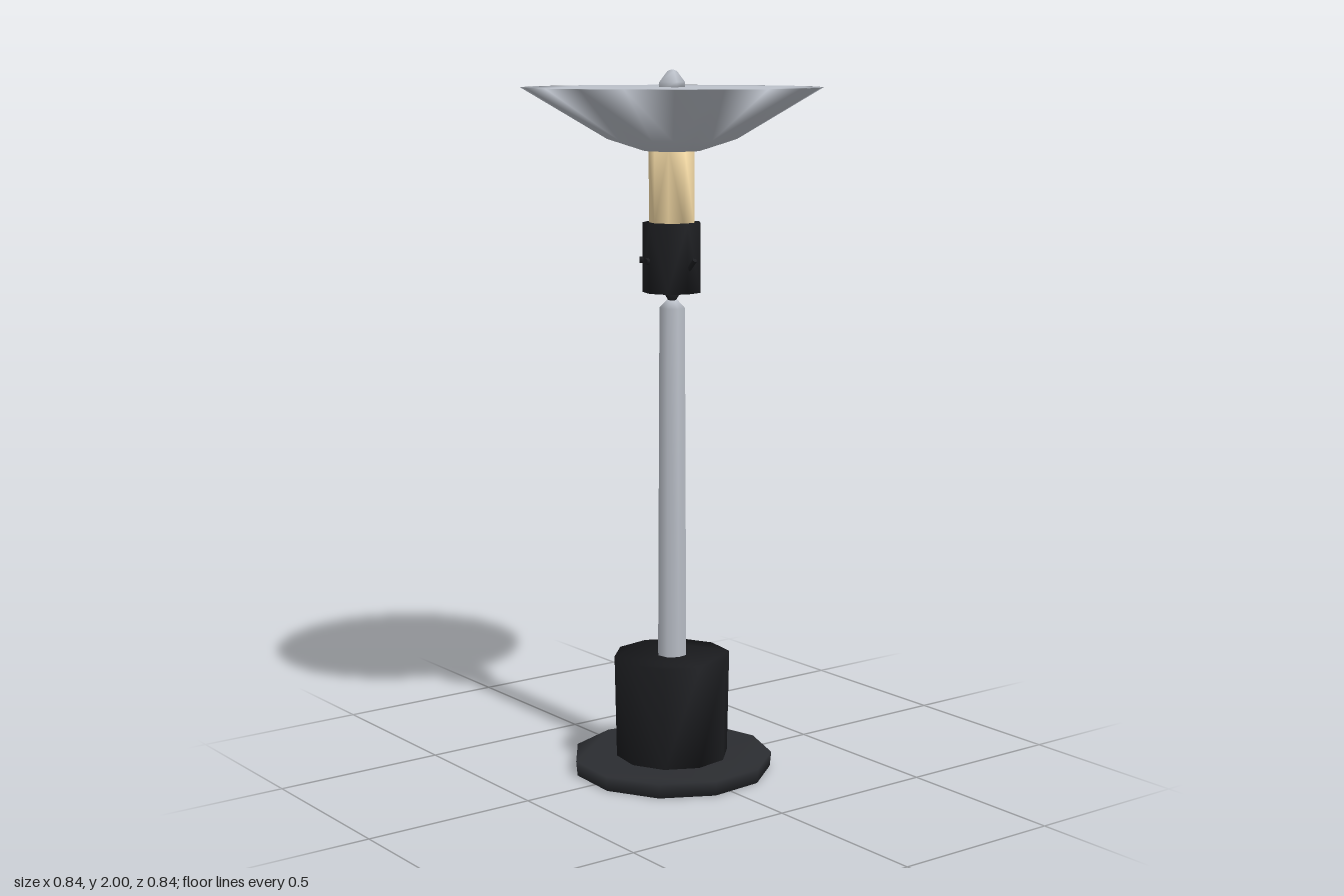
import * as THREE from 'three';
import { ConvexGeometry } from 'three/addons/geometries/ConvexGeometry.js';
import { mergeVertices } from 'three/addons/utils/BufferGeometryUtils.js';

const metal = new THREE.MeshStandardMaterial({ color: 0xbcc1ca });
const black = new THREE.MeshStandardMaterial({ color: 0x1c1d20 });
const charcoal = new THREE.MeshStandardMaterial({ color: 0x2b2d31 });
const cream = new THREE.MeshStandardMaterial({ color: 0xf2d8a4 });

export function createModel() {
  const lamp = new THREE.Group();

  function add(name, geometry, material, parent = lamp) {
    const mesh = new THREE.Mesh(geometry, material);
    mesh.name = name;
    parent.add(mesh);
    return mesh;
  }

  // Closed solid through stacked rings of [radius, height], smooth over every edge
  function solid(name, rings, sides, material, turn = 0) {
    const points = [];
    for (const [r, y] of rings) {
      for (let i = 0; i < sides; i++) {
        const a = turn + (i / sides) * Math.PI * 2;
        points.push(new THREE.Vector3(r * Math.cos(a), y, r * Math.sin(a)));
      }
    }
    const hull = new ConvexGeometry(points);
    hull.deleteAttribute('normal');
    const geometry = mergeVertices(hull);
    geometry.computeVertexNormals();
    return add(name, geometry, material);
  }

  // Foot and drum
  solid('footPlate', [[0.284, 0], [0.288, 0.042]], 11, charcoal, 0.2);
  solid('baseDrum', [[0.162, 0.035], [0.168, 0.338]], 10, black, 0.15);

  // Pole with a bevelled top
  solid('pole', [[0.043, 0.33], [0.038, 1.34], [0.016, 1.362]], 8, metal, 0.2);

  // Socket on a small pointed neck, holding the sleeve
  solid('socketNeck', [[0.004, 1.35], [0.028, 1.39]], 6, black);
  solid('socket', [[0.083, 1.385], [0.083, 1.58]], 9, black, 0.1);
  solid('sleeve', [[0.065, 1.57], [0.065, 1.79]], 9, cream, 0.1);

  // Small screws around the socket, and a longer switch lever on the left
  const screws = new THREE.Group();
  screws.name = 'socketScrews';
  lamp.add(screws);
  for (const angle of [1.57, 3.14, 4.1, 4.71]) {
    const screw = add('socketScrew', new THREE.CylinderGeometry(0.009, 0.012, 0.022, 5), black, screws);
    screw.position.set(Math.cos(angle) * 0.08, 1.475, -Math.sin(angle) * 0.08);
    screw.rotation.set(0, angle, -Math.PI / 2, 'YXZ');
  }
  const lever = add('switchLever', new THREE.CylinderGeometry(0.007, 0.007, 0.055, 5), black);
  lever.position.set(0.085, 1.462, 0);
  lever.rotation.z = -0.8;

  // Shallow shade, closed flat across the top
  solid('shade', [[0.08, 1.778], [0.18, 1.81], [0.42, 1.952]], 20, metal);

  // Four-sided finial on the shade
  solid('finial', [[0.038, 1.945], [0.038, 1.966], [0.014, 1.996], [0.003, 2]], 4, metal, 0.28);

  return lamp;
}
